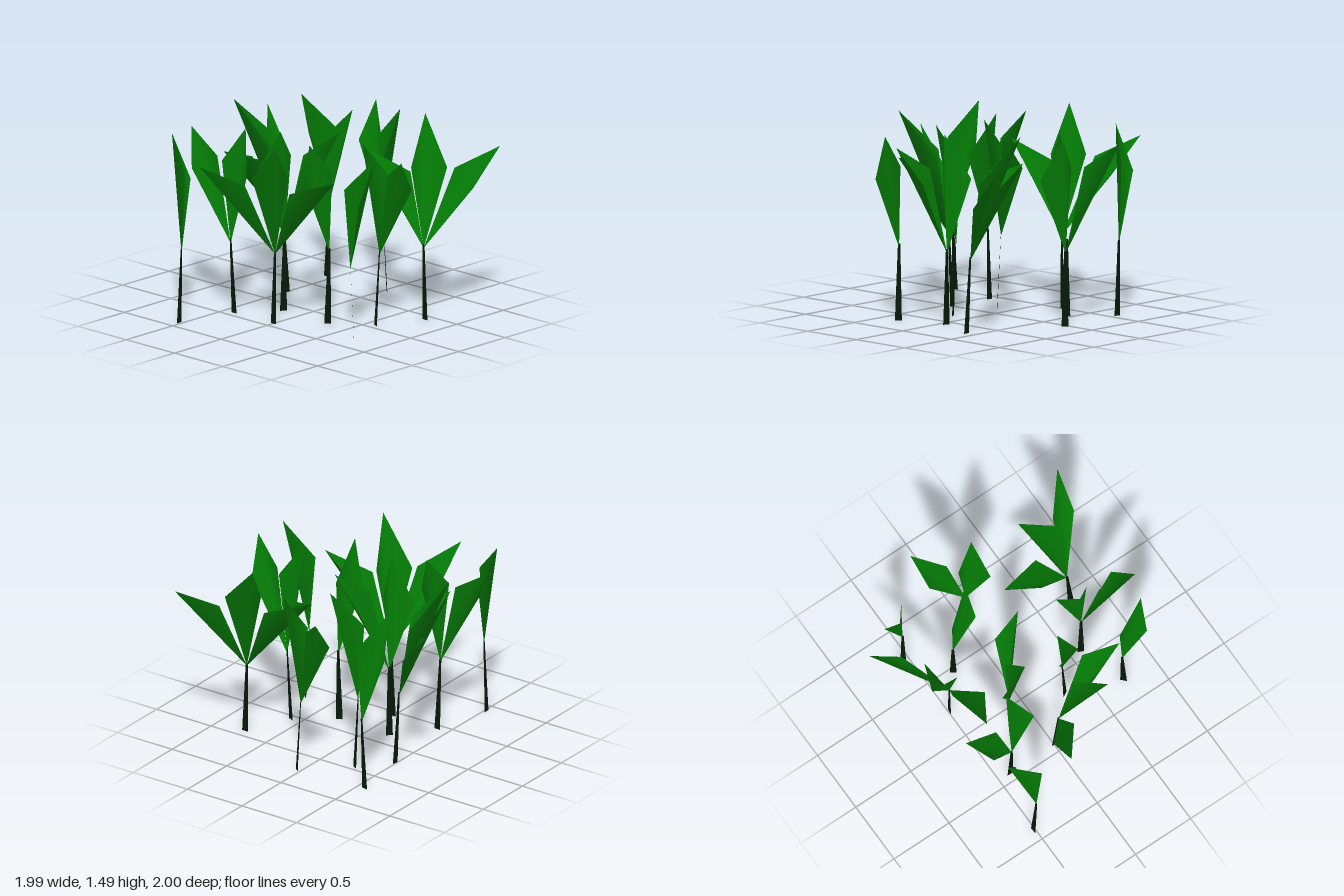
import * as THREE from 'three';

const leafMat = new THREE.MeshStandardMaterial({ color: 0x047a06, side: THREE.DoubleSide });
const stemMat = new THREE.MeshStandardMaterial({ color: 0x061808, side: THREE.DoubleSide });
const STEM_TOP = 0.55;

// point from plan radius, plan angle in degrees (x towards z) and height
function polar([r, deg, y]) {
  const a = THREE.MathUtils.degToRad(deg);
  return new THREE.Vector3(r * Math.cos(a), y, r * Math.sin(a));
}

function mesh(name, points, index, material) {
  const geometry = new THREE.BufferGeometry().setFromPoints(points);
  geometry.setIndex(index);
  geometry.computeVertexNormals();
  const m = new THREE.Mesh(geometry, material);
  m.name = name;
  return m;
}

// kite-shaped blade folded along its midrib
function leaf([tip, cornerA, cornerB]) {
  const points = [new THREE.Vector3(0, STEM_TOP, 0), ...[cornerA, tip, cornerB].map(polar)];
  return mesh('leaf', points, [0, 1, 2, 0, 2, 3], leafMat);
}

// flat ribbon, wide at the ground and narrow at the leaves
function stem({ across, foot }) {
  const side = polar([1, across, 0]);
  const base = polar(foot);
  const top = new THREE.Vector3(0, STEM_TOP + 0.03, 0);
  const at = (p, w) => p.clone().addScaledVector(side, w);
  const points = [at(base, -0.026), at(base, 0.026), at(top, 0.009), at(top, -0.009)];
  return mesh('stem', points, [0, 1, 2, 0, 2, 3], stemMat);
}

// each leaf: tip, corner, corner as [radius, angle, height]
const kinds = {
  threeLeafPlant: {
    stem: { across: 90, foot: [0.03, 117, 0] },
    leaves: [
      [[0.6, 28, 1.29], [0.277, 12.5, 1.13], [0.37, 43, 1.01]],
      [[0.375, -42, 1.49], [0.13, -90, 1.15], [0.188, 25, 1.16]],
      [[0.58, -91, 1.21], [0.345, -112, 1.12], [0.24, -68, 1.08]],
    ],
  },
  twoLeafPlant: {
    stem: { across: 0, foot: [0.03, 105, 0] },
    leaves: [
      [[0.412, 0, 1.375], [0.3, -30, 1.11], [0.14, 0, 1.2]],
      [[0.13, 105, 1.425], [0.065, -39, 1.19], [0.19, 186, 1.1]],
    ],
  },
  oneLeafPlant: {
    stem: { across: 60, foot: [0.027, -18, 0] },
    leaves: [[[0.211, 0, 1.425], [0.047, 162, 1.16], [0.187, 41, 1.08]]],
  },
};

// kind, x, z, turn in degrees
const layout = [
  ['threeLeafPlant', 0.433, 0.72, 0],
  ['threeLeafPlant', -0.45, 0.03, 177.5],
  ['threeLeafPlant', 0.2, -0.51, -83],
  ['twoLeafPlant', -0.47, -0.41, -89],
  ['twoLeafPlant', 0.735, 0.008, -51],
  ['twoLeafPlant', 0.08, 0.603, 113],
  ['twoLeafPlant', -0.12, -0.19, 44],
  ['oneLeafPlant', -0.913, -0.493, -63.5],
  ['oneLeafPlant', 0.745, -0.557, 220],
  ['oneLeafPlant', 0.443, -0.31, 60],
  ['oneLeafPlant', -0.328, 0.693, 76],
  ['oneLeafPlant', -0.13, 0.285, 181],
];

export function createModel() {
  const model = new THREE.Group();
  model.name = 'plantCluster';
  for (const [kind, x, z, turn] of layout) {
    const plant = new THREE.Group();
    plant.name = kind;
    plant.add(stem(kinds[kind].stem), ...kinds[kind].leaves.map(leaf));
    plant.position.set(x, 0, z);
    plant.rotation.y = -THREE.MathUtils.degToRad(turn);
    model.add(plant);
  }
  return model;
}
